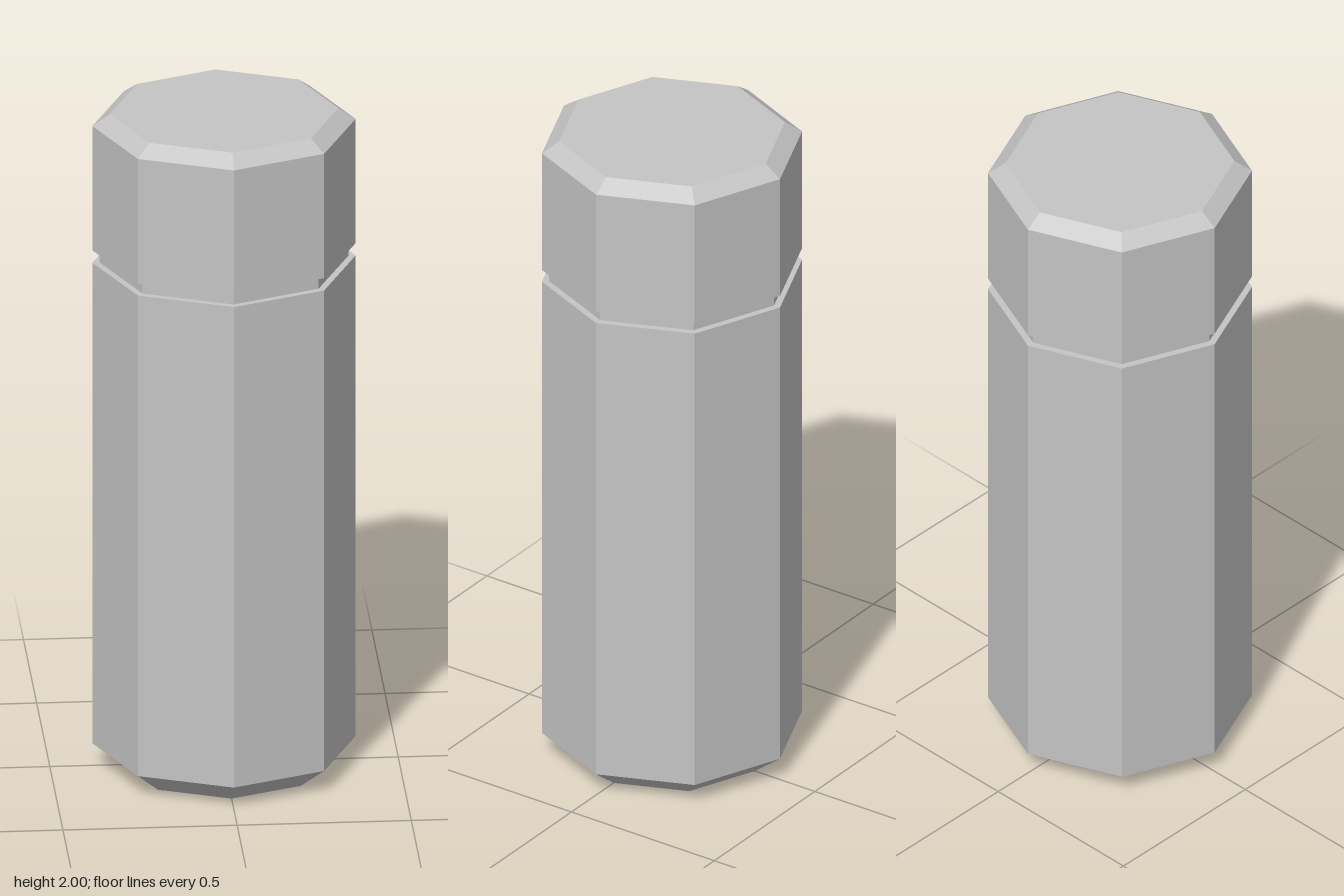
import * as THREE from 'three';

const SIDES = 8;

export function createModel() {
  const model = new THREE.Group();
  model.name = 'flask';
  const grey = new THREE.MeshStandardMaterial({ color: 0xc4c4c4 });
  grey.name = 'light grey';

  // Faceted solid of revolution from [radius, height] pairs, bottom to top
  function addTurned(name, profile) {
    const points = profile.map(([r, y]) => new THREE.Vector2(r, y));
    const geometry = new THREE.LatheGeometry(points, SIDES).toNonIndexed();
    geometry.computeVertexNormals(); // flat facets
    const mesh = new THREE.Mesh(geometry, grey);
    mesh.name = name;
    model.add(mesh);
  }

  // Body with chamfered base and flat shoulder
  addTurned('body', [[0, 0], [0.29, 0], [0.378, 0.068], [0.378, 1.545], [0.357, 1.545]]);

  // Recessed ring between body and lid
  addTurned('neck', [[0.357, 1.545], [0.357, 1.583]]);

  // Lid with chamfered top
  addTurned('lid', [[0.357, 1.583], [0.378, 1.583], [0.378, 1.965], [0.328, 2], [0, 2]]);

  return model;
}
